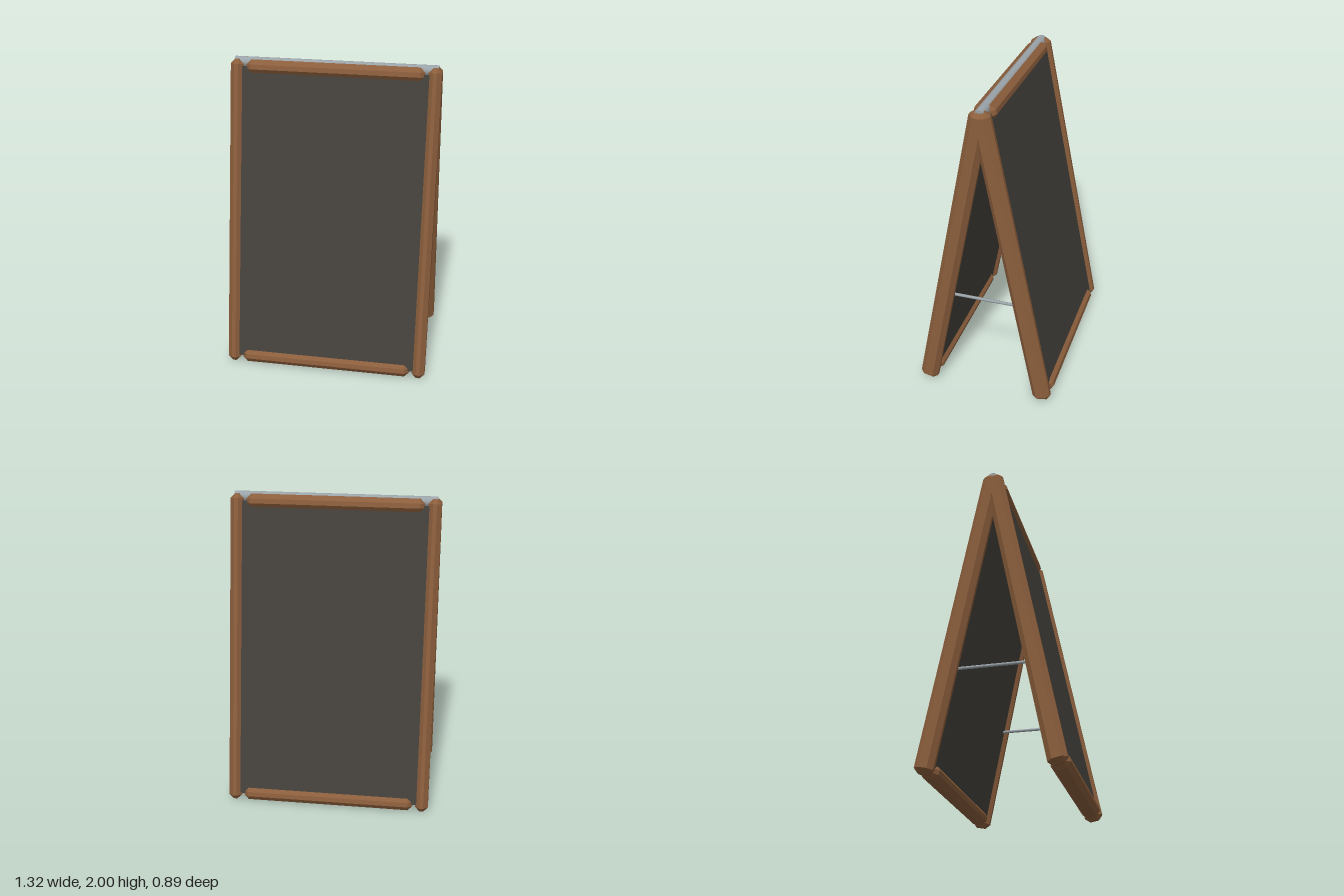
import * as THREE from 'three';
import { ConvexGeometry } from 'three/addons/geometries/ConvexGeometry.js';

const WOOD = new THREE.MeshStandardMaterial({ color: 0x8b5e3c, flatShading: true });
const BOARD = new THREE.MeshStandardMaterial({ color: 0x45423c });
const METAL = new THREE.MeshStandardMaterial({ color: 0x9aa3a8 });

const HINGE_Y = 1.985; // height where the two frames meet
const LENGTH = 2.019;  // frame length along its slope
const TILT = 0.196;
const DEPTH = 0.118;
const CHAMFER = 0.03;

// Box with every edge cut at 45 degrees
function chamferedBox(w, h, d, c = CHAMFER) {
  const points = [];
  const half = [w / 2, h / 2, d / 2];
  for (const sx of [-1, 1]) for (const sy of [-1, 1]) for (const sz of [-1, 1]) {
    for (let axis = 0; axis < 3; axis++) {
      const [x, y, z] = half.map((v, i) => (i === axis ? v : v - c));
      points.push(new THREE.Vector3(sx * x, sy * y, sz * z));
    }
  }
  return new ConvexGeometry(points);
}

function add(parent, name, geometry, material, x, y, z) {
  const mesh = new THREE.Mesh(geometry, material);
  mesh.name = name;
  mesh.position.set(x, y, z);
  parent.add(mesh);
  return mesh;
}

// One sloping board in its wooden frame, hanging down from the hinge
function createFrame(name) {
  const frame = new THREE.Group();
  frame.name = name;
  const post = chamferedBox(0.084, LENGTH, DEPTH);
  const rail = chamferedBox(1.118, 0.09, DEPTH);
  add(frame, 'leftPost', post, WOOD, 0.619, -LENGTH / 2, 0);
  add(frame, 'rightPost', post, WOOD, -0.619, -LENGTH / 2, 0);
  add(frame, 'topRail', rail, WOOD, 0, -0.045, 0);
  add(frame, 'bottomRail', rail, WOOD, 0, -LENGTH + 0.047, 0);
  add(frame, 'boardPanel', new THREE.BoxGeometry(1.18, LENGTH - 0.09, 0.074), BOARD, 0, -LENGTH / 2, 0);
  frame.position.y = HINGE_Y;
  return frame;
}

export function createModel() {
  const model = new THREE.Group();
  model.name = 'sandwichBoard';

  // Front and back frames lean against each other
  [['frontFrame', 0], ['backFrame', Math.PI]].forEach(([name, turn]) => {
    const frame = createFrame(name);
    frame.rotation.set(-TILT, turn, 0, 'YXZ');
    model.add(frame);
  });

  // Metal hinge rod along the top
  const rod = new THREE.CylinderGeometry(0.034, 0.034, 1.274, 16);
  add(model, 'hingeRod', rod, METAL, 0, 1.966, 0).rotation.z = Math.PI / 2;

  // Thin spreader bars holding the frames apart
  const bar = new THREE.CylinderGeometry(0.01, 0.01, 0.46, 8);
  for (const side of [-1, 1]) {
    add(model, side > 0 ? 'leftSpreader' : 'rightSpreader', bar, METAL, side * 0.566, 0.667, 0).rotation.x = Math.PI / 2;
  }
  return model;
}
